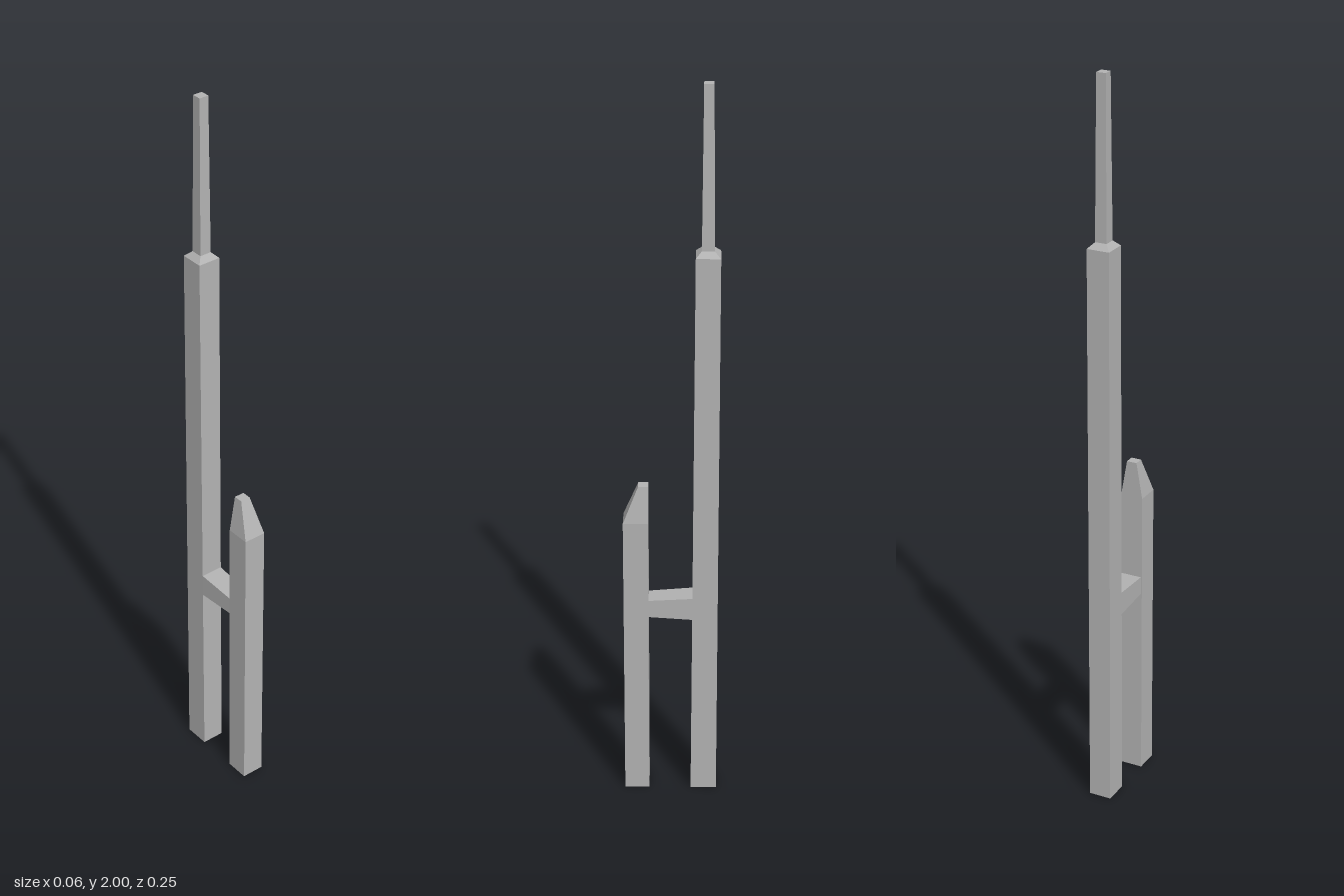
import * as THREE from 'three';

// Skins four-cornered rings, listed anticlockwise as seen from the far end, with capped ends.
function loft(rings) {
  const index = [];
  for (let r = 0; r < rings.length - 1; r++) {
    for (let i = 0; i < 4; i++) {
      const j = (i + 1) % 4, a = r * 4 + i, b = r * 4 + j;
      index.push(a, b, b + 4, a, b + 4, a + 4);
    }
  }
  const e = (rings.length - 1) * 4;
  index.push(0, 2, 1, 0, 3, 2, e, e + 1, e + 2, e, e + 2, e + 3);
  const g = new THREE.BufferGeometry();
  g.setAttribute('position', new THREE.Float32BufferAttribute(rings.flat(2), 3));
  g.setIndex(index);
  const flat = g.toNonIndexed();
  flat.computeVertexNormals();
  return flat;
}

// Horizontal ring for upright parts
const level = (y, hx, back, front) =>
  [[hx, y, front], [hx, y, back], [-hx, y, back], [-hx, y, front]];

// Upright ring for the bridge
const slice = (z, hx, low, high) =>
  [[hx, low, z], [hx, high, z], [-hx, high, z], [-hx, low, z]];

export function createModel() {
  const group = new THREE.Group();
  const concrete = new THREE.MeshStandardMaterial({ color: 0xb2b2b2 });
  const add = (name, rings) => {
    const mesh = new THREE.Mesh(loft(rings), concrete);
    mesh.name = name;
    group.add(mesh);
  };

  // Tall rear tower: tapered shaft, sloped shoulder and slender spire
  add('tallTower', [
    level(0, 0.031, -0.125, -0.055),
    level(1.56, 0.031, -0.125, -0.062),
    level(1.575, 0.016, -0.109, -0.077),
    level(2, 0.013, -0.105, -0.08),
  ]);

  // Short front tower with a tapered crown, upright at the back
  add('shortTower', [
    level(0, 0.031, 0.059, 0.125),
    level(0.82, 0.031, 0.059, 0.125),
    level(0.92, 0.014, 0.059, 0.085),
  ]);

  // Bridge between the towers, slightly larger at the rear
  add('skyBridge', [
    slice(-0.058, 0.031, 0.533, 0.597),
    slice(0.062, 0.028, 0.539, 0.588),
  ]);

  return group;
}
